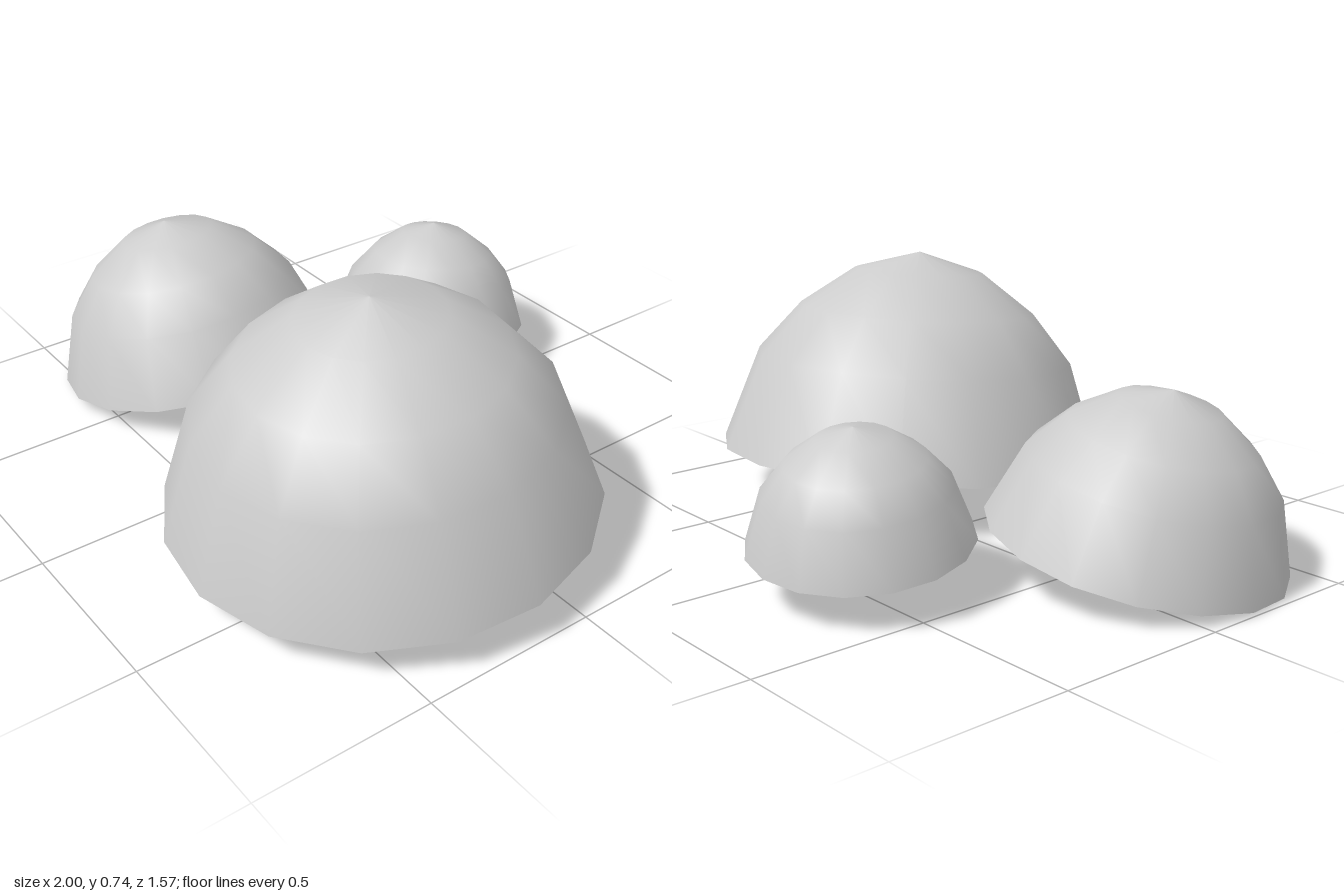
import * as THREE from 'three';

// Half profile of a dome with rim radius 1, from rim to apex
const PROFILE = [[1, 0], [0.83, 0.49], [0.615, 0.745], [0.335, 0.945], [0, 1.04]]
  .map(([r, y]) => new THREE.Vector2(r, y));

const UP = new THREE.Vector3(0, 1, 0);

// name, rim centre, rim radius, axis direction, spin about the axis
const DOMES = [
  ['largeDome', [0.41, 0.13, 0.195], 0.59, [0.017, 1, 0.085], 0.05],
  ['mediumDome', [-0.59, 0.083, 0.163], 0.417, [-0.18, 1, 0.1], -0.035],
  ['smallDome', [-0.23, 0.14, -0.485], 0.302, [-0.08, 1, -0.12], 0],
];

export function createModel() {
  const group = new THREE.Group();
  group.name = 'domeCluster';
  const material = new THREE.MeshStandardMaterial({ color: 0xcccccc, side: THREE.DoubleSide });
  // One hollow, open-bottomed shell shared by all the domes
  const shell = new THREE.LatheGeometry(PROFILE, 16);

  for (const [name, centre, radius, axis, spin] of DOMES) {
    const dome = new THREE.Mesh(shell, material);
    dome.name = name;
    dome.position.set(...centre);
    dome.scale.setScalar(radius);
    // Lean the dome along its axis
    dome.quaternion.setFromUnitVectors(UP, new THREE.Vector3(...axis).normalize());
    dome.rotateY(spin);
    group.add(dome);
  }
  return group;
}
